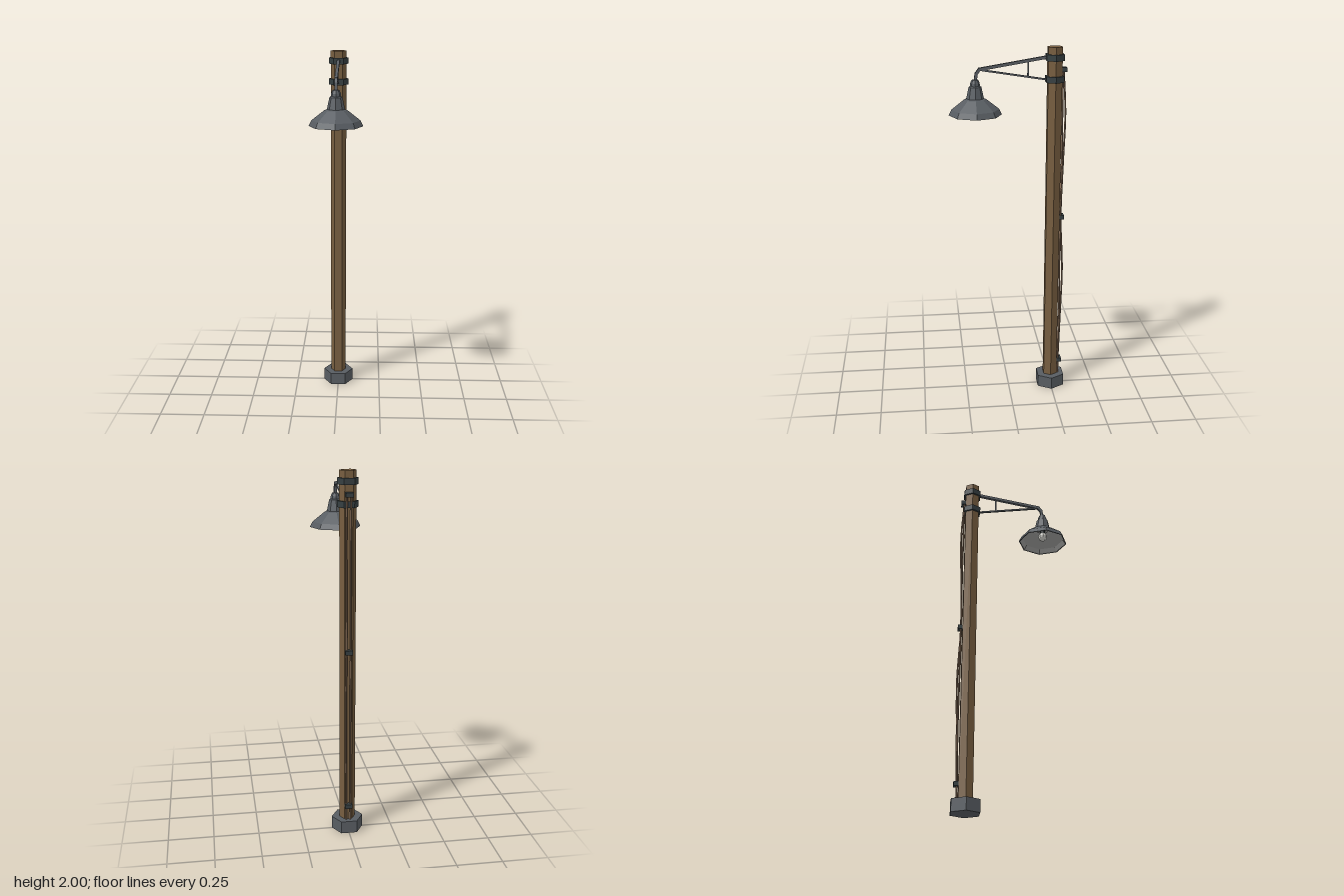
import * as THREE from 'three';

const POLE_Z = -0.248, LAMP_Z = 0.178;
const V = (x, y, z) => new THREE.Vector3(x, y, z);

export function createModel() {
  const model = new THREE.Group();
  model.name = 'streetLamp';

  const mat = (name, color) => {
    const m = new THREE.MeshStandardMaterial({ color, flatShading: true });
    m.name = name;
    return m;
  };
  const wood = mat('wood', 0x775e40);
  const metal = mat('grey metal', 0x585d62);
  const iron = mat('dark iron', 0x363f41);
  const cord = mat('brown cable', 0x8a705a);
  const lining = mat('shade lining', 0x9a9a98);
  const glass = mat('bulb glass', 0xd2d2cc);

  const add = (name, geometry, material, x = 0, y = 0, z = 0) => {
    const mesh = new THREE.Mesh(geometry, material);
    mesh.name = name;
    mesh.position.set(x, y, z);
    model.add(mesh);
    return mesh;
  };
  // Hexagonal prism around the pole axis, with flats facing front and back
  const hex = (name, r, y0, y1, material) =>
    add(name, new THREE.CylinderGeometry(r, r, y1 - y0, 6, 1, false, Math.PI / 6),
      material, 0, (y0 + y1) / 2, POLE_Z);
  // Square bar between two points
  const bar = (name, a, b, w) => {
    const mesh = add(name, new THREE.BoxGeometry(w, w, a.distanceTo(b)), metal);
    mesh.position.copy(a).add(b).multiplyScalar(0.5);
    mesh.lookAt(b);
    return mesh;
  };
  // Octagonal turned part around the lamp axis
  const turned = (name, points, material) =>
    add(name, new THREE.LatheGeometry(points.map(p => new THREE.Vector2(...p)), 8),
      material, 0, 0, LAMP_Z);

  // Pole, footing and clamps
  hex('pole', 0.044, 0.03, 2, wood);
  hex('footing', 0.087, 0, 0.07, metal);
  hex('lowerClamp', 0.055, 1.813, 1.846, iron);
  hex('upperClamp', 0.055, 1.928, 1.962, iron);

  // Bracket arm
  bar('arm', V(0, 1.945, -0.2), V(0, 1.886, 0.16), 0.016);
  bar('armElbow', V(0, 1.89, 0.152), V(0, 1.862, 0.172), 0.016);
  bar('armDrop', V(0, 1.868, 0.17), V(0, 1.815, 0.178), 0.016);
  bar('brace', V(0, 1.828, -0.2), V(0, 1.882, 0.14), 0.009);
  bar('strut', V(0, 1.842, -0.105), V(0, 1.929, -0.105), 0.008);

  // Lamp shade, outside and inside
  turned('shade', [[0.137, 1.645], [0.143, 1.645], [0.128, 1.675], [0.06, 1.728],
    [0.047, 1.733], [0.034, 1.795], [0.027, 1.8], [0.025, 1.815], [0.018, 1.832], [0, 1.832]], metal);
  turned('shadeLining', [[0, 1.74], [0.042, 1.735], [0.053, 1.722], [0.121, 1.67], [0.137, 1.645]], lining);

  // The lining must face inward and down
  const inner = model.getObjectByName('shadeLining').geometry;
  const index = inner.index;
  for (let i = 0; i < index.count; i += 3) {
    const a = index.getX(i);
    index.setX(i, index.getX(i + 1));
    index.setX(i + 1, a);
  }
  // Profile runs from top to bottom, so restore its winding once
  for (let i = 0; i < index.count; i += 3) {
    const a = index.getX(i);
    index.setX(i, index.getX(i + 1));
    index.setX(i + 1, a);
  }

  // Bulb and socket
  add('socket', new THREE.CylinderGeometry(0.016, 0.016, 0.04, 8), iron, 0, 1.72, LAMP_Z);
  add('bulb', new THREE.SphereGeometry(0.027, 8, 6), glass, 0, 1.684, LAMP_Z);

  // Cables sagging between clips down the back of the pole
  const cable = (name, x, offsets) => {
    const heights = [1.88, 1.65, 1.4, 1.05, 0.75, 0.45, 0.155, 0.06];
    const path = new THREE.CatmullRomCurve3(
      heights.map((y, i) => V(x + offsets[i] * 0.4, y, -0.294 - offsets[i])));
    add(name, new THREE.TubeGeometry(path, 24, 0.005, 4), cord);
  };
  cable('looseCable', 0.012, [0, 0.013, 0.007, 0, 0.013, 0.007, 0, 0]);
  cable('tautCable', -0.01, [0, 0.001, 0.003, 0, 0.002, 0.004, 0, 0]);
  for (const y of [1.88, 1.052, 0.155]) {
    add('cableClip', new THREE.BoxGeometry(0.04, 0.024, 0.028), iron, 0, y, -0.298);
  }

  return model;
}
